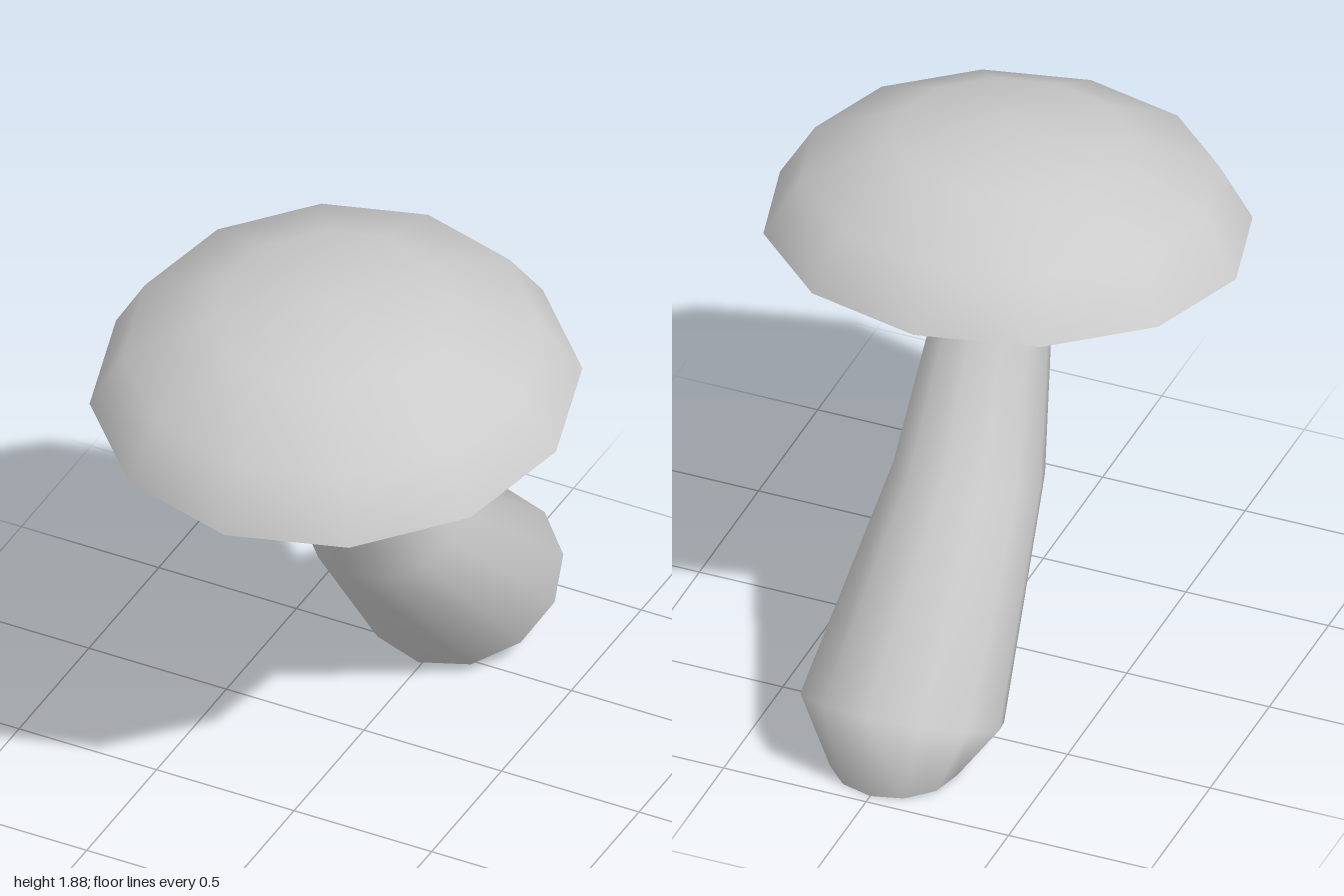
import * as THREE from 'three';
import { mergeVertices } from 'three/addons/utils/BufferGeometryUtils.js';

const SIDES = 12;

// A ring runs from its front point to its back point (both [y, z]) with half width rx.
const ring = (front, back, rx) => ({ front, back, rx });

// Joins consecutive rings into a smooth skin; a ring with rx = 0 is a pole.
function loft(rings) {
  const positions = [];
  const index = [];
  rings.forEach(({ front, back, rx }, r) => {
    for (let i = 0; i < SIDES; i++) {
      const a = (i / SIDES) * Math.PI * 2;
      const t = (1 - Math.cos(a)) / 2;
      positions.push(
        rx * Math.sin(a),
        THREE.MathUtils.lerp(front[0], back[0], t),
        THREE.MathUtils.lerp(front[1], back[1], t)
      );
      if (r === 0) continue;
      const j = (i + 1) % SIDES;
      const lo = (r - 1) * SIDES, hi = r * SIDES;
      if (rings[r - 1].rx > 0) index.push(lo + i, lo + j, hi + i);
      if (rx > 0) index.push(lo + j, hi + j, hi + i);
    }
  });
  let geometry = new THREE.BufferGeometry();
  geometry.setAttribute('position', new THREE.Float32BufferAttribute(positions, 3));
  geometry.setIndex(index);
  geometry = mergeVertices(geometry);
  geometry.computeVertexNormals();
  return geometry;
}

export function createModel() {
  const group = new THREE.Group();
  group.name = 'mushroom';
  const material = new THREE.MeshStandardMaterial({ color: 0xcccccc });

  const add = (name, rings) => {
    const mesh = new THREE.Mesh(loft(rings), material);
    mesh.name = name;
    group.add(mesh);
  };

  // Rings shared by neighbouring parts
  const base = ring([0, -0.53], [0, -0.965], 0.215);
  const neck = ring([1.385, 0.31], [1.42, -0.04], 0.178);
  const rim = ring([1.425, 1], [1.585, -0.6], 0.8);

  // Flat foot
  add('stemBase', [ring([0, -0.75], [0, -0.75], 0), base]);

  // Bent, tapering stem
  add('stem', [
    base,
    ring([0.02, -0.39], [0.33, -1], 0.34),
    ring([0.69, 0.11], [0.815, -0.38], 0.252),
    neck,
  ]);

  // Shallow cone under the cap
  add('capUnderside', [neck, rim]);

  // Tilted dome
  add('capTop', [
    rim,
    ring([1.63, 0.9], [1.765, -0.46], 0.685),
    ring([1.795, 0.62], [1.87, -0.16], 0.395),
    ring([1.88, 0.24], [1.88, 0.24], 0),
  ]);

  return group;
}
